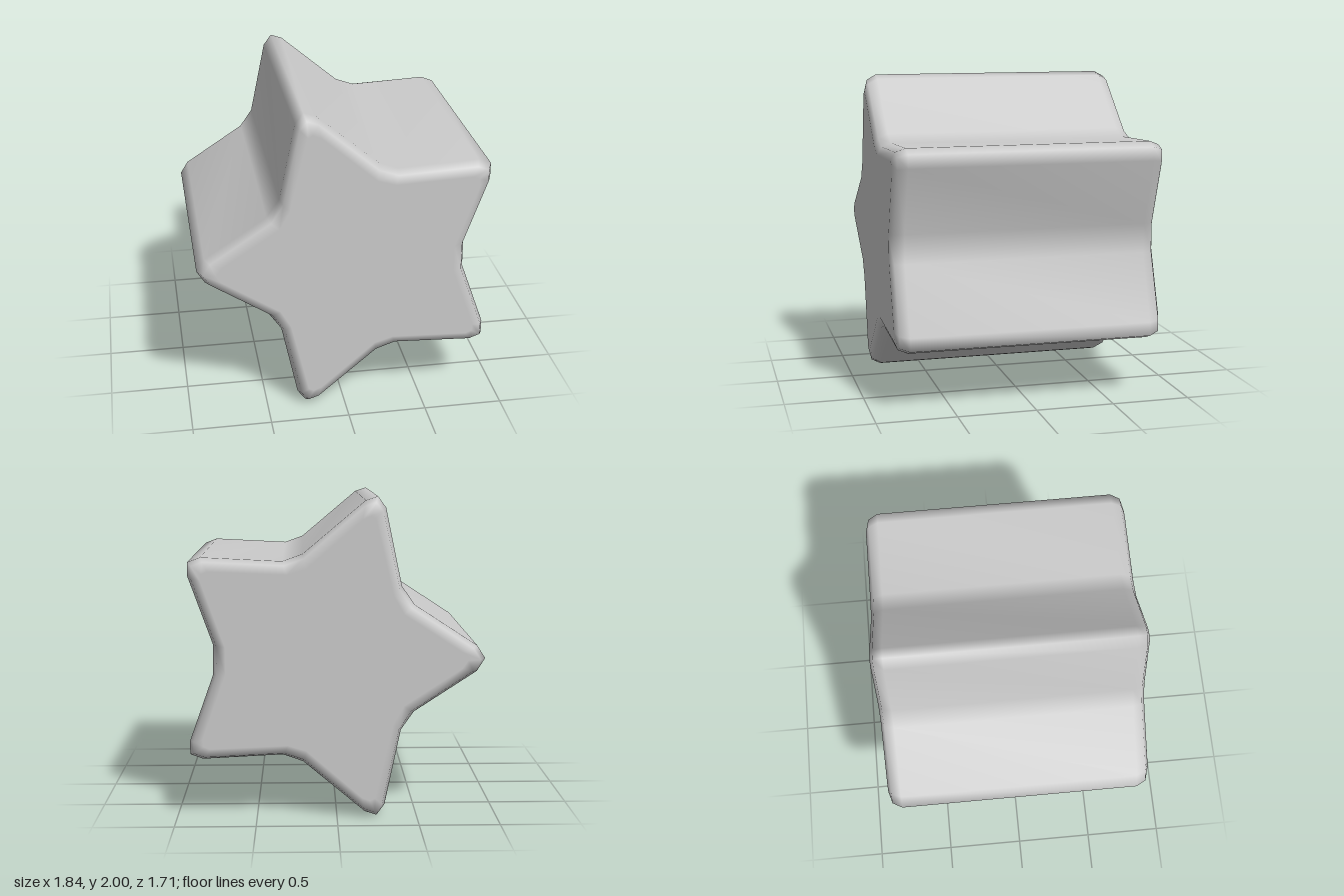
import * as THREE from 'three';

// Upper half of the star, from left tip to right notch: [outer x, outer y, cap x, cap y]
const HALF = [
  [-0.92, 1.0, -0.805, 1.0],
  [-0.87, 1.08, -0.77, 1.05],
  [-0.48, 1.335, -0.41, 1.285],
  [-0.4, 1.45, -0.345, 1.4],
  [-0.3, 1.93, -0.235, 1.87],
  [-0.25, 2.0, -0.205, 1.885],
  [-0.175, 1.975, -0.155, 1.865],
  [0.21, 1.65, 0.19, 1.565],
  [0.335, 1.605, 0.305, 1.53],
  [0.835, 1.63, 0.785, 1.55],
  [0.915, 1.6, 0.825, 1.535],
  [0.915, 1.515, 0.83, 1.49],
  [0.765, 1.095, 0.685, 1.085],
];

// Rounded edge profile, back to front: [z, inset from outer outline towards cap outline]
const RINGS = [
  [-0.855, 1], [-0.832, 0.3], [-0.77, 0],
  [0.77, 0], [0.832, 0.3], [0.855, 1],
];

function starGeometry() {
  // Mirror the half top to bottom, then order counter-clockwise seen from the front
  const lower = HALF.slice(1).reverse().map(([x, y, u, v]) => [x, 2 - y, u, 2 - v]);
  const outline = [...HALF, ...lower].reverse();
  const n = outline.length;
  const position = [];
  const index = [];

  for (const [z, t] of RINGS) {
    for (const [x, y, u, v] of outline) position.push(x + (u - x) * t, y + (v - y) * t, z);
  }

  // Walls and rounded edges between neighbouring rings
  for (let r = 0; r < RINGS.length - 1; r++) {
    for (let i = 0; i < n; i++) {
      const j = (i + 1) % n;
      const a = r * n + i, b = r * n + j;
      index.push(a, b, b + n, a, b + n, a + n);
    }
  }

  // Flat end caps, fanned from their centres
  const last = (RINGS.length - 1) * n;
  const back = RINGS.length * n, front = back + 1;
  position.push(0, 1, RINGS[0][0], 0, 1, RINGS[RINGS.length - 1][0]);
  for (let i = 0; i < n; i++) {
    const j = (i + 1) % n;
    index.push(back, j, i, front, last + i, last + j);
  }

  const geometry = new THREE.BufferGeometry();
  geometry.setAttribute('position', new THREE.Float32BufferAttribute(position, 3));
  geometry.setIndex(index);
  geometry.computeVertexNormals();

  // Keep the caps evenly flat while the edges blend smoothly into them
  const normal = geometry.attributes.normal;
  for (let i = 0; i < n; i++) {
    normal.setXYZ(i, 0, 0, -1);
    normal.setXYZ(last + i, 0, 0, 1);
  }
  return geometry;
}

export function createModel() {
  const group = new THREE.Group();
  group.name = 'starBlock';
  const star = new THREE.Mesh(starGeometry(), new THREE.MeshStandardMaterial({ color: 0xcccccc }));
  star.name = 'starPrism';
  group.add(star);
  return group;
}
